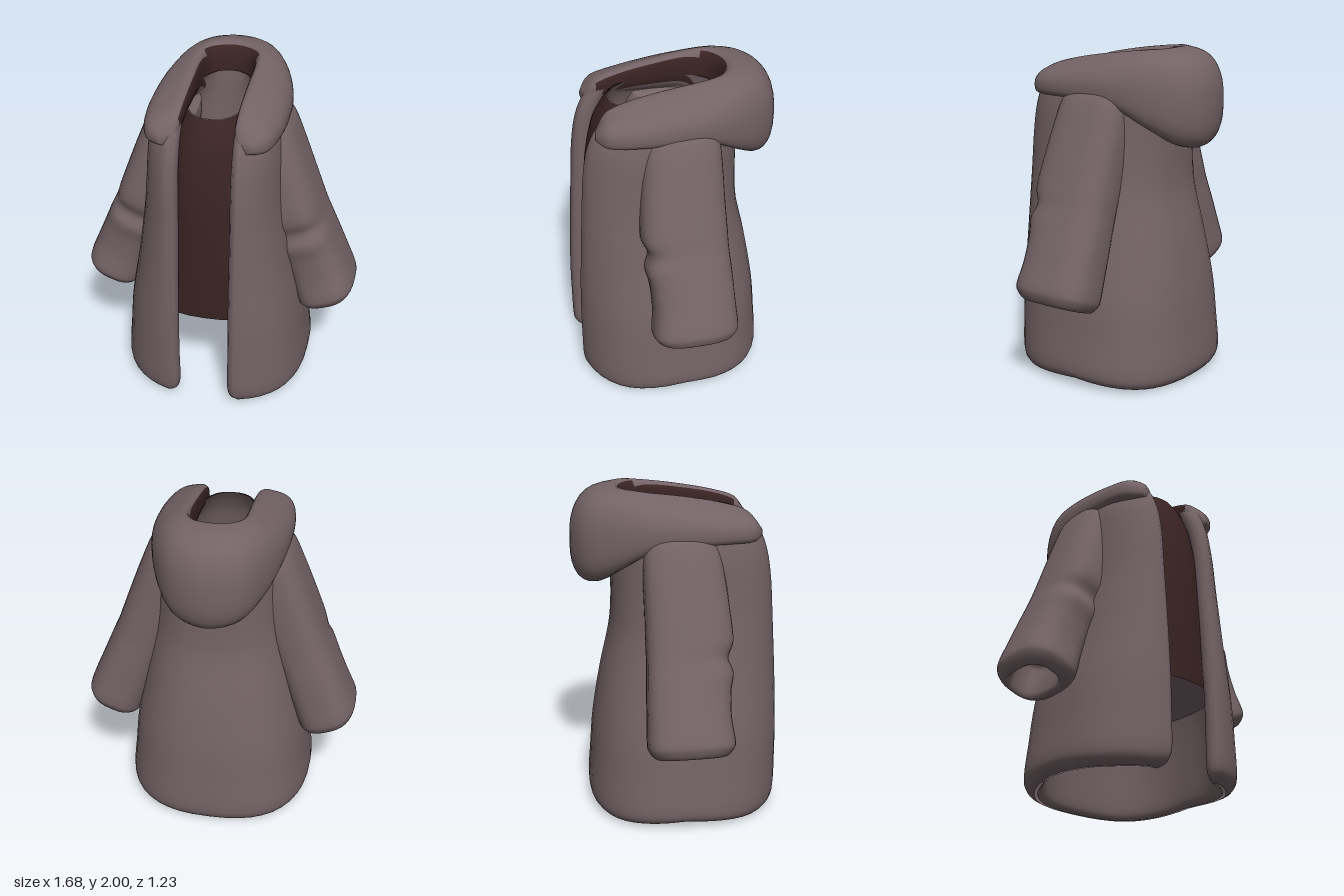
import * as THREE from 'three';

const wool = new THREE.MeshStandardMaterial({ color: 0x746366, side: THREE.DoubleSide });
wool.name = 'greyWool';
const dark = new THREE.MeshStandardMaterial({ color: 0x3a2324, side: THREE.DoubleSide });
dark.name = 'darkLining';

// Resample rows of numbers with a smooth curve through them
function smooth(rows, steps) {
  const out = [], last = rows.length - 1;
  for (let i = 0; i < last; i++) {
    const [a, b, c, d] = [i - 1, i, i + 1, i + 2].map(k => rows[Math.min(last, Math.max(0, k))]);
    for (let s = 0; s < steps; s++) {
      const t = s / steps;
      out.push(b.map((p, k) => p + 0.5 * t * (c[k] - a[k]
        + t * (2 * a[k] - 5 * p + 4 * c[k] - d[k] + t * (3 * (p - c[k]) + d[k] - a[k])))));
    }
  }
  out.push(rows[last]);
  return out;
}

// Skin closed rings of points; isDark chooses the material of each quad
function loft(name, rings, { caps = [false, false], material = wool, isDark = null } = {}) {
  const n = rings[0].length, m = rings.length;
  const pos = rings.flat(2), main = [], second = [];
  for (let i = 0; i < m - 1; i++) for (let j = 0; j < n; j++) {
    const a = i * n + j, b = i * n + (j + 1) % n;
    (isDark && isDark(i, j) ? second : main).push(a, b, a + n, b, b + n, a + n);
  }
  caps.forEach((on, e) => {
    if (!on) return;
    const ring = rings[e ? m - 1 : 0], start = e ? (m - 1) * n : 0, c = pos.length / 3;
    pos.push(...[0, 1, 2].map(k => ring.reduce((s, p) => s + p[k], 0) / n));
    for (let j = 0; j < n; j++) {
      const a = start + j, b = start + (j + 1) % n;
      main.push(...(e ? [a, b, c] : [b, a, c]));
    }
  });
  const g = new THREE.BufferGeometry();
  g.setAttribute('position', new THREE.Float32BufferAttribute(pos, 3));
  g.setIndex([...main, ...second]);
  if (isDark) {
    g.addGroup(0, main.length, 0);
    g.addGroup(main.length, second.length, 1);
  }
  g.computeVertexNormals();
  const mesh = new THREE.Mesh(g, isDark ? [material, dark] : material);
  mesh.name = name;
  return mesh;
}

const pow = (v, p) => Math.sign(v) * Math.abs(v) ** p;

// Point on a rounded oval; angle 0 is the front
function oval(a, w, zf, zb, p = 0.8) {
  return [w * pow(Math.sin(a), p), (zf + zb) / 2 + (zf - zb) / 2 * pow(Math.cos(a), p)];
}

// Coat wall: thick C-shaped section, open at the front
function coatRing([y, w, zf, zb, o, i]) {
  const N = 40, edge = 0.2 + o;
  const arc = inset => {
    const a0 = Math.asin(Math.min(1, edge / (w - inset)) ** 1.25);
    return Array.from({ length: N + 1 }, (_, k) => {
      const [x, z] = oval(a0 + (2 * Math.PI - 2 * a0) * k / N, w - inset, zf - inset, zb + inset);
      // The hem lifts a little at the sides
      return [x, y + 0.035 * Math.max(0, 1 - y / 0.3) * (1 - Math.min(1, Math.abs(z) / 0.4)), z];
    });
  };
  const outer = arc(o), inner = arc(i).reverse();
  const z0 = outer[0][2], z1 = inner[0][2];
  const lip = [[0.168, 0.13], [0.154, 0.36], [0.152, 0.62], [0.168, 0.87]]
    .map(([x, t]) => [x + o, outer[0][1], z0 + (z1 - z0) * t]);
  return [...outer, ...lip.map(([x, yy, z]) => [-x, yy, z]), ...inner, ...lip.reverse()];
}

function makeCoat() {
  const rows = [ // y, half width, front z, back z, outer inset, inner inset
    [0.004, 0.565, 0.615, -0.53, 0.055, 0.07],
    [0.03, 0.57, 0.62, -0.532, 0.02, 0.095],
    [0.10, 0.572, 0.625, -0.535, 0, 0.11],
    [0.30, 0.555, 0.63, -0.522, 0, 0.11],
    [0.55, 0.53, 0.63, -0.50, 0, 0.11],
    [0.85, 0.475, 0.622, -0.45, 0, 0.11],
    [1.10, 0.435, 0.612, -0.395, 0, 0.11],
    [1.25, 0.415, 0.606, -0.378, 0, 0.11],
    [1.45, 0.40, 0.595, -0.375, 0, 0.1],
    [1.62, 0.39, 0.57, -0.38, 0, 0.1],
    [1.74, 0.37, 0.53, -0.39, 0, 0.1],
    [1.82, 0.335, 0.478, -0.39, 0, 0.085],
    [1.865, 0.29, 0.42, -0.39, 0, 0.07],
  ];
  return loft('coatBody', smooth(rows, 4).map(coatRing));
}

// Hood lying back, its rolled edge running round the neck and melting into both lapels
function makeHood() {
  const half = [ // inner x, z, outer x, z, middle y, half height, tilt
    [0.18, 0.46, 0.26, 0.485, 1.745, 0.03, 0.0],
    [0.155, 0.40, 0.352, 0.42, 1.78, 0.072, 0.025],
    [0.15, 0.26, 0.393, 0.25, 1.805, 0.085, 0.045],
    [0.15, 0.06, 0.40, 0.04, 1.82, 0.105, 0.055],
    [0.15, -0.12, 0.385, -0.16, 1.82, 0.13, 0.06],
    [0.13, -0.22, 0.325, -0.37, 1.775, 0.20, 0.05],
    [0.075, -0.265, 0.205, -0.55, 1.73, 0.255, 0.045],
    [0, -0.28, 0, -0.615, 1.715, 0.275, 0.045],
  ];
  const other = half.slice(0, -1).reverse().map(([a, b, c, ...r]) => [-a, b, -c, ...r]);
  const rows = smooth([...half, ...other], 5), N = 32;
  const rings = rows.map(([ix, iz, ox, oz, c, h, tilt]) => Array.from({ length: N }, (_, j) => {
    // The inner face is steeper than the outer one
    const f = j / N * Math.PI * 2, cos = Math.cos(f), r = pow(cos, cos < 0 ? 0.55 : 0.8), t = (r + 1) / 2;
    return [ix + (ox - ix) * t, c + h * pow(Math.sin(f), 0.8) - tilt * r, iz + (oz - iz) * t];
  }));
  const mid = (rows.length - 1) / 2;
  return loft('hood', rings, {
    caps: [true, true],
    isDark: (i, j) => {
      const away = Math.abs(i + 0.5 - mid);
      return j < 19 && (away < 11 ? j >= 11 : away < 30 && j >= 13);
    },
  });
}

// Sleeve with an elbow crease, rounded cuff and hollow end
function makeSleeve(side) {
  const rows = [ // centre x, y, half width, front z, back z
    [0.25, 1.76, 0.11, 0.18, -0.18],
    [0.285, 1.66, 0.145, 0.225, -0.215],
    [0.335, 1.50, 0.162, 0.25, -0.222],
    [0.395, 1.33, 0.166, 0.268, -0.222],
    [0.455, 1.16, 0.168, 0.278, -0.225],
    [0.487, 1.07, 0.168, 0.243, -0.225],
    [0.52, 0.99, 0.171, 0.27, -0.23],
    [0.558, 0.89, 0.175, 0.25, -0.235],
    [0.612, 0.75, 0.18, 0.245, -0.24],
    [0.658, 0.63, 0.184, 0.26, -0.245],
    [0.67, 0.585, 0.177, 0.25, -0.235],
    [0.678, 0.546, 0.145, 0.21, -0.20],
    [0.675, 0.565, 0.105, 0.175, -0.17],
    [0.61, 0.75, 0.09, 0.15, -0.15],
  ];
  const rings = smooth(rows, 4).map(([cx, cy, w, zf, zb]) => Array.from({ length: 32 }, (_, j) => {
    const [u, z] = oval(j / 32 * Math.PI * 2, w, zf, zb, 0.72);
    return [side * (cx + 0.937 * u), cy + 0.35 * u, z];
  }));
  return loft(side > 0 ? 'leftSleeve' : 'rightSleeve', rings, { caps: [true, true] });
}

// Dark inner garment with a grey inside, open at the neck, floored below
function makeLining() {
  const group = new THREE.Group();
  group.name = 'lining';
  const rows = [ // y, half width, front z, back z
    [0.58, 0.42, 0.515, -0.38],
    [1.00, 0.34, 0.525, -0.30],
    [1.40, 0.29, 0.51, -0.265],
    [1.65, 0.25, 0.465, -0.265],
    [1.77, 0.21, 0.415, -0.265],
    [1.845, 0.175, 0.365, -0.27],
  ];
  const ring = (y, w, zf, zb, inset) => Array.from({ length: 40 }, (_, j) => {
    const [x, z] = oval(j / 40 * Math.PI * 2, w - inset, zf - inset, zb + inset);
    return [x, y, z];
  });
  const shell = inset => smooth(rows, 5).map(r => ring(...r, inset));
  const floor = (y, inset) => [ring(...rows[0], inset), ring(...rows[0], 0.25)]
    .map(points => points.map(([x, , z]) => [x, y, z]));
  group.add(
    loft('innerFront', shell(0), { material: dark }),
    loft('innerBacking', shell(0.008)),
    loft('innerFloor', floor(0.588, 0.004), { material: dark, caps: [false, true] }),
    loft('innerUnderside', floor(0.58, 0), { caps: [false, true] }),
  );
  return group;
}

export function createModel() {
  const model = new THREE.Group();
  model.name = 'hoodedCoat';
  model.add(makeCoat(), makeHood(), makeSleeve(1), makeSleeve(-1), makeLining());
  return model;
}
